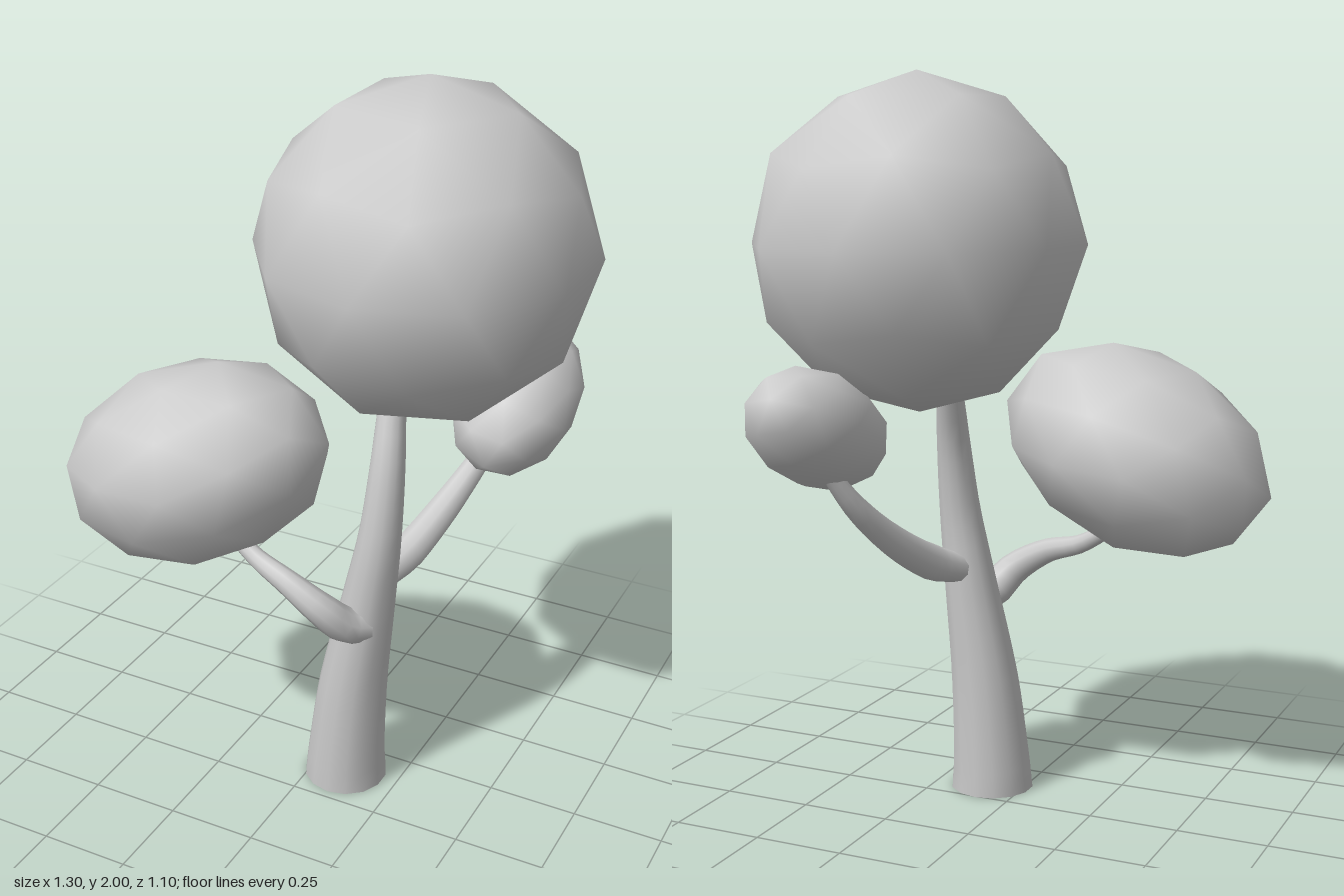
import * as THREE from 'three';

const material = new THREE.MeshStandardMaterial({ color: 0xcccccc });
const openMaterial = new THREE.MeshStandardMaterial({ color: 0xcccccc, side: THREE.DoubleSide });
const vec = (a) => new THREE.Vector3(...a);

// Tapered limb through points given as [x, y, z, radius]
function limb(name, points, segments, sides) {
  const curve = new THREE.CatmullRomCurve3(points.map((p) => vec(p)));
  const geometry = new THREE.TubeGeometry(curve, segments, 1, sides);
  const pos = geometry.attributes.position;
  const v = new THREE.Vector3();
  for (let i = 0; i <= segments; i++) {
    const centre = curve.getPointAt(i / segments);
    const t = curve.getUtoTmapping(i / segments) * (points.length - 1);
    const k = Math.min(Math.floor(t), points.length - 2);
    const radius = THREE.MathUtils.lerp(points[k][3], points[k + 1][3], t - k);
    for (let j = 0; j <= sides; j++) {
      const n = i * (sides + 1) + j;
      v.fromBufferAttribute(pos, n).sub(centre).multiplyScalar(radius).add(centre);
      pos.setXYZ(n, v.x, v.y, v.z);
    }
  }
  const mesh = new THREE.Mesh(geometry, openMaterial);
  mesh.name = name;
  return mesh;
}

// Smooth-shaded icosphere with a pole on local y, stretched along three half-axes
function crown(name, centre, xAxis, yAxis, zAxis, turn = 0) {
  const geometry = new THREE.IcosahedronGeometry(1, 1);
  geometry.rotateZ(-Math.atan(2 / (1 + Math.sqrt(5))));
  geometry.rotateY(turn);
  const matrix = new THREE.Matrix4().makeBasis(vec(xAxis), vec(yAxis), vec(zAxis));
  geometry.applyMatrix4(matrix.setPosition(vec(centre)));
  const mesh = new THREE.Mesh(geometry, material);
  mesh.name = name;
  return mesh;
}

export function createModel() {
  const tree = new THREE.Group();
  tree.name = 'tree';

  // Trunk, leaning slightly and running up into the top crown
  tree.add(limb('trunk', [
    [0.094, 0, 0.11, 0.117],
    [0.094, 0.03, 0.11, 0.115],
    [0.115, 0.3, 0.11, 0.097],
    [0.16, 0.6, 0.106, 0.073],
    [0.188, 0.8, 0.1, 0.058],
    [0.193, 1.0, 0.07, 0.047],
    [0.18, 1.15, 0.02, 0.037],
    [0.175, 1.25, -0.02, 0.025],
  ], 20, 14));

  // Side branches
  tree.add(limb('frontBranch', [
    [0.175, 0.525, 0.12, 0.045],
    [0.13, 0.55, 0.19, 0.052],
    [0.08, 0.61, 0.235, 0.045],
    [-0.02, 0.67, 0.24, 0.034],
    [-0.13, 0.705, 0.215, 0.026],
    [-0.24, 0.77, 0.19, 0.02],
  ], 16, 10));
  tree.add(limb('backBranch', [
    [0.17, 0.64, 0.06, 0.04],
    [0.205, 0.675, -0.04, 0.05],
    [0.25, 0.755, -0.17, 0.044],
    [0.3, 0.86, -0.28, 0.034],
    [0.35, 0.97, -0.35, 0.022],
  ], 14, 10));

  // Foliage
  tree.add(crown('topCrown', [0.22, 1.55, -0.08], [0.45, 0, 0], [0, 0.45, 0], [0, 0, 0.45]));
  tree.add(crown('frontCrown', [-0.28, 0.982, 0.253],
    [0.363, 0.153, -0.04], [0.07, 0.03, 0.305], [0.105, -0.25, 0], Math.PI / 18));
  tree.add(crown('backCrown', [0.4, 1.075, -0.315],
    [0.172, 0, 0], [0, 0.139, 0.067], [0, -0.11, 0.23]));
  return tree;
}
